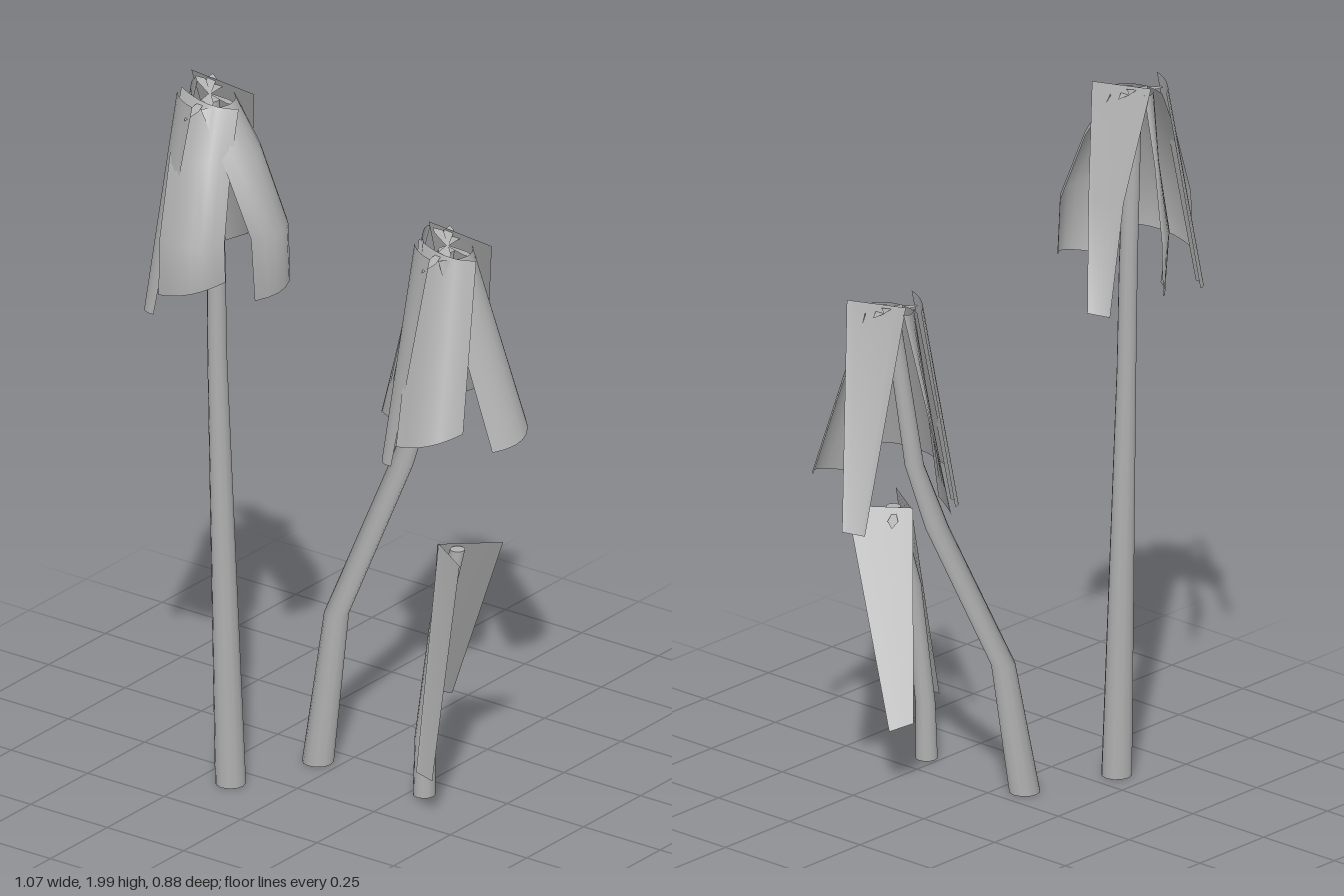
import * as THREE from 'three';

const grey = new THREE.MeshStandardMaterial({ color: 0xb0b0b0, side: THREE.DoubleSide });
grey.name = 'plain grey';

function mesh(name, geometry) {
  const m = new THREE.Mesh(geometry, grey);
  m.name = name;
  return m;
}

// Stem: a cylinder whose rings are moved to [x, y, z, radius]
function stem(rings) {
  const n = rings.length - 1;
  const g = new THREE.CylinderGeometry(1, 1, n, 12, n);
  const p = g.attributes.position;
  for (let i = 0; i < p.count; i++) {
    const [x, y, z, r] = rings[Math.round(p.getY(i) + n / 2)];
    p.setXYZ(i, x + p.getX(i) * r, y, z + p.getZ(i) * r);
  }
  return mesh('stem', g);
}

// Petal: each row is left edge xyz + right edge xyz; the middle arches by bulge
function petal(name, rows, bulge = [0, 0, 0]) {
  const cols = 6, pos = [], idx = [];
  rows.forEach((row, j) => {
    for (let i = 0; i <= cols; i++) {
      const t = i / cols, arch = 4 * t * (1 - t);
      for (let k = 0; k < 3; k++) pos.push(row[k] * (1 - t) + row[k + 3] * t + bulge[k] * arch);
      if (j && i) {
        const a = j * (cols + 1) + i, b = a - cols - 1;
        idx.push(b - 1, a - 1, a, b - 1, a, b);
      }
    }
  });
  const g = new THREE.BufferGeometry();
  g.setAttribute('position', new THREE.Float32BufferAttribute(pos, 3));
  g.setIndex(idx);
  g.computeVertexNormals();
  return mesh(name, g);
}

// Sepal: a narrow pointed leaf leaving the centre c at an angle
function sepal(c, angle, length, rise) {
  const dx = Math.cos(angle), dz = Math.sin(angle), w = 0.014;
  const row = (d, y, h) => [
    c[0] + dx * d - dz * h, c[1] + y, c[2] + dz * d + dx * h,
    c[0] + dx * d + dz * h, c[1] + y, c[2] + dz * d - dx * h,
  ];
  return petal('sepal', [row(0, 0, 0.003), row(length * 0.6, rise * 0.8 + 0.005, w), row(length, rise, 0.001)]);
}

// Shared flower head; curled petals keep their middle rows
function flowerHead(curled, backPetal) {
  const head = new THREE.Group();
  head.name = 'flowerHead';
  const shape = rows => (curled ? rows : [rows[0], rows[rows.length - 1]]);
  head.add(
    petal('leftPetal', shape([
      [-0.265, 1.975, -0.13, -0.28, 2.0, -0.325],
      [-0.14, 1.7, -0.23, -0.15, 1.72, -0.345],
      [-0.03, 1.44, -0.325, -0.075, 1.425, -0.365],
    ])),
    petal('frontPetal', shape([
      [-0.38, 1.95, -0.22, -0.25, 1.96, -0.21],
      [-0.4, 1.82, -0.13, -0.24, 1.83, -0.13],
      [-0.4, 1.63, -0.04, -0.23, 1.63, -0.05],
      [-0.37, 1.44, -0.05, -0.21, 1.48, -0.06],
    ]), [0, 0, 0.045]),
    petal('rightPetal', shape([
      [-0.33, 1.97, -0.32, -0.32, 1.95, -0.14],
      [-0.42, 1.82, -0.29, -0.38, 1.82, -0.12],
      [-0.52, 1.62, -0.25, -0.45, 1.62, -0.09],
      [-0.525, 1.46, -0.25, -0.445, 1.51, -0.09],
    ]), [-0.035, 0, 0.02]),
    petal('backRightPetal', [
      [-0.34, 1.97, -0.325, -0.43, 1.975, -0.21],
      [-0.465, 1.385, -0.333, -0.5, 1.385, -0.285],
    ], [-0.01, 0, -0.01]),
    petal('backPetal', backPetal, [0.01, 0, -0.02]),
  );
  const c = [-0.313, 1.965, -0.24];
  [[3.05, 0.13, -0.03], [-0.15, 0.08, 0], [-0.55, 0.085, 0.02],
    [-1.2, 0.07, 0.025], [1.1, 0.08, -0.03], [2.6, 0.06, -0.02]]
    .forEach(s => head.add(sepal(c, ...s)));
  return head;
}

function plant(name, ...parts) {
  const g = new THREE.Group();
  g.name = name;
  g.add(...parts);
  return g;
}

export function createModel() {
  const model = new THREE.Group();
  model.name = 'droopingFlowers';

  // Tall plant with curled petals
  const tall = plant('tallPlant',
    stem([[-0.325, 0.01, -0.163, 0.041], [-0.267, 1.2, -0.25, 0.026],
      [-0.285, 1.48, -0.24, 0.025], [-0.31, 1.95, -0.237, 0.022]]),
    flowerHead(true, [
      [-0.35, 1.97, -0.27, -0.27, 1.98, -0.31],
      [-0.33, 1.8, -0.3, -0.255, 1.8, -0.36],
      [-0.3, 1.62, -0.37, -0.2, 1.62, -0.435],
      [-0.29, 1.46, -0.35, -0.2, 1.47, -0.44],
    ]));

  // Middle plant with straight petals
  const middleHead = flowerHead(false, [
    [-0.35, 1.975, -0.29, -0.265, 1.985, -0.33],
    [-0.38, 1.445, -0.35, -0.32, 1.435, -0.45],
  ]);
  middleHead.position.set(0.567, -0.545, 0.355);
  const middle = plant('middlePlant',
    stem([[-0.075, 0.01, -0.063, 0.042], [0.02, 0.4, -0.073, 0.033],
      [0.165, 0.8, 0.03, 0.032], [0.21, 0.98, 0.07, 0.026], [0.25, 1.41, 0.115, 0.022]]),
    middleHead);

  // Small plant with two narrow petals
  const small = plant('smallPlant',
    stem([[-0.08, 0.01, 0.288, 0.03], [-0.07, 0.17, 0.283, 0.027],
      [-0.06, 0.5, 0.32, 0.024], [-0.03, 0.715, 0.36, 0.02]]),
    petal('rightPetal', [
      [-0.04, 0.72, 0.305, -0.125, 0.72, 0.437],
      [-0.205, 0.135, 0.355, -0.218, 0.13, 0.417],
    ]),
    petal('leftPetal', [
      [0.063, 0.723, 0.44, -0.045, 0.72, 0.305],
      [0.175, 0.183, 0.19, 0.12, 0.2, 0.153],
    ]),
    sepal([-0.018, 0.71, 0.345], -0.6, 0.055, -0.03));

  model.add(tall, middle, small);
  return model;
}
